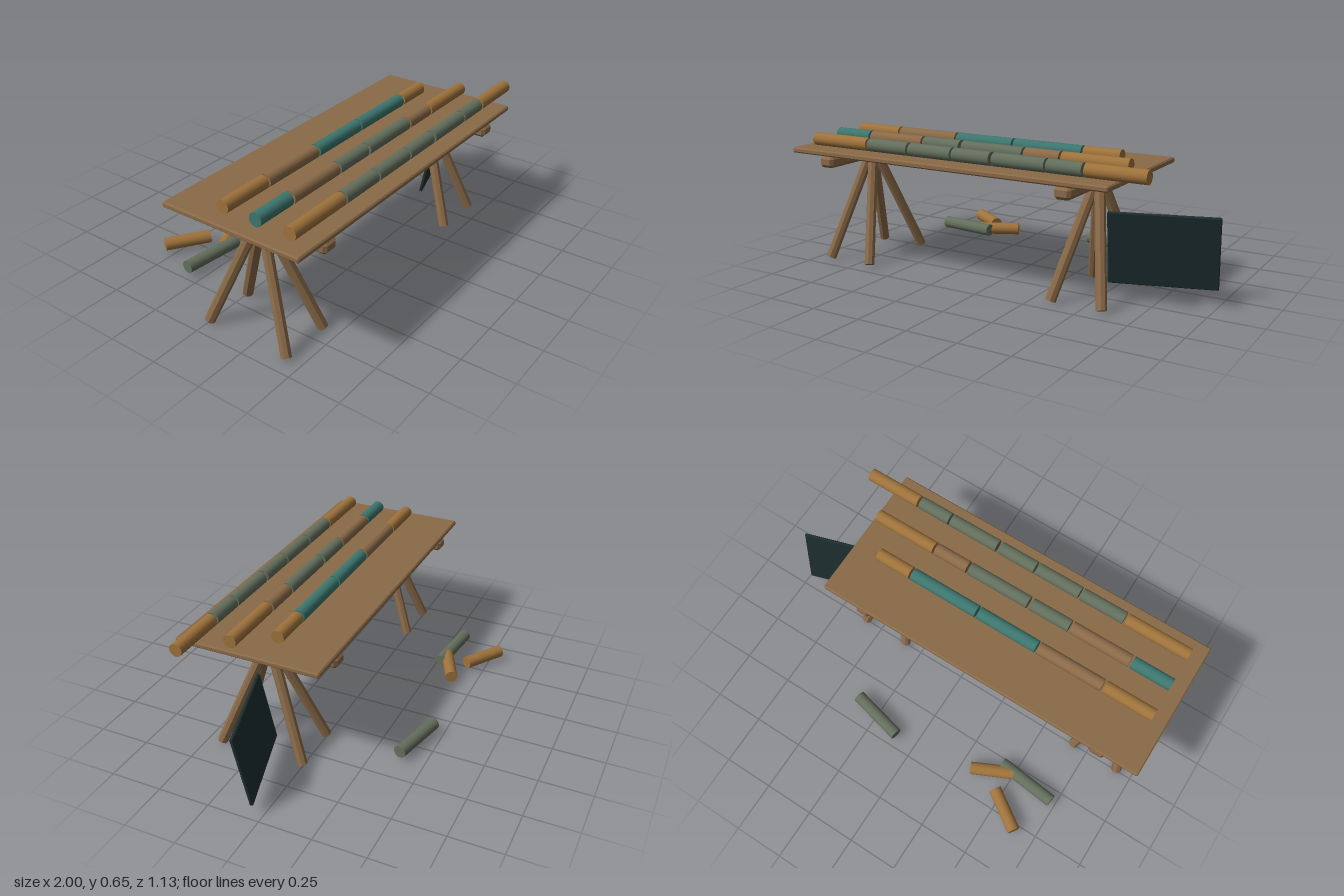
import * as THREE from 'three';
import { ConvexGeometry } from 'three/addons/geometries/ConvexGeometry.js';

const mat = (name, color) => {
  const m = new THREE.MeshStandardMaterial({ color });
  m.name = name;
  return m;
};

// Box with every edge chamfered by b
function chamferBox(w, h, d, b) {
  const [x, y, z] = [w / 2, h / 2, d / 2];
  const points = [];
  for (const sx of [-1, 1]) for (const sy of [-1, 1]) for (const sz of [-1, 1]) {
    points.push(
      new THREE.Vector3(sx * x, sy * (y - b), sz * (z - b)),
      new THREE.Vector3(sx * (x - b), sy * y, sz * (z - b)),
      new THREE.Vector3(sx * (x - b), sy * (y - b), sz * z)
    );
  }
  return new ConvexGeometry(points);
}

// Cylinder running from point a to point b
function rod(name, a, b, radius, sides, material) {
  const from = new THREE.Vector3(...a), to = new THREE.Vector3(...b);
  const dir = to.clone().sub(from);
  let geo = new THREE.CylinderGeometry(radius, radius, dir.length(), sides);
  if (sides <= 8) {
    geo.rotateY(Math.PI / sides);
    geo = geo.toNonIndexed();
    geo.computeVertexNormals();
  }
  const mesh = new THREE.Mesh(geo, material);
  mesh.name = name;
  mesh.position.copy(from).add(to).multiplyScalar(0.5);
  mesh.quaternion.setFromUnitVectors(new THREE.Vector3(0, 1, 0), dir.normalize());
  return mesh;
}

export function createModel() {
  const model = new THREE.Group();
  model.name = 'trestleTable';

  const wood = mat('wood', 0x8a6a48);
  const straw = mat('golden wood', 0x9e723b);
  const moss = mat('grey green', 0x636e5c);
  const teal = mat('teal', 0x3c766e);
  const slate = mat('dark slate', 0x1e2e30);
  const midZ = 0.214;

  // Table top
  const top = new THREE.Mesh(chamferBox(1.68, 0.026, 0.702, 0.006), wood);
  top.name = 'tableTop';
  top.position.set(-0.16, 0.577, midZ);
  model.add(top);

  // Trestles: a beam on four splayed legs
  for (const x of [-0.795, 0.47]) {
    const trestle = new THREE.Group();
    trestle.name = 'trestle';
    trestle.position.set(x, 0, midZ);
    const beam = new THREE.Mesh(chamferBox(0.08, 0.056, 0.7, 0.014), wood);
    beam.name = 'beam';
    beam.position.y = 0.536;
    trestle.add(beam);
    for (const sx of [-1, 1]) for (const sz of [-1, 1]) {
      trestle.add(rod('leg', [sx * 0.124, 0.012, sz * 0.211], [sx * 0.008, 0.53, sz * 0.01], 0.025, 8, wood));
    }
    model.add(trestle);
  }

  // Rows of rolls on the table: [start, end, material]
  const rows = [
    [0.13, [[-0.928, -0.678, straw], [-0.668, -0.336, wood], [-0.326, -0.016, teal],
      [-0.005, 0.348, teal], [0.358, 0.54, straw]]],
    [0.298, [[-0.928, -0.727, teal], [-0.716, -0.412, wood], [-0.401, -0.198, moss],
      [-0.182, 0.139, moss], [0.15, 0.326, wood], [0.337, 0.658, straw]]],
    [0.467, [[-0.928, -0.604, straw], [-0.594, -0.369, moss], [-0.358, -0.128, moss],
      [-0.118, 0.075, moss], [0.091, 0.348, moss], [0.358, 0.524, moss], [0.535, 0.813, straw]]]
  ];
  for (const [z, parts] of rows) {
    const row = new THREE.Group();
    row.name = 'rollRow';
    for (const [a, b, m] of parts) row.add(rod('roll', [a, 0.624, z], [b, 0.624, z], 0.031, 24, m));
    model.add(row);
  }

  // Loose rolls on the ground behind
  const loose = [
    [-0.725, -0.318, -0.425, -0.286, moss],
    [-0.497, -0.299, -0.305, -0.39, straw],
    [-0.647, -0.54, -0.465, -0.417, straw],
    [0.104, -0.446, 0.374, -0.382, moss]
  ];
  for (const [x1, z1, x2, z2, m] of loose) {
    model.add(rod('looseRoll', [x1, 0.049, z1], [x2, 0.049, z2], 0.031, 24, m));
  }

  // Dark board leaning against the trestle
  const board = new THREE.Mesh(chamferBox(0.49, 0.35, 0.016, 0.004), slate);
  board.name = 'leaningBoard';
  board.rotation.order = 'YXZ';
  board.rotation.set(0.187, 0.297, 0);
  board.position.set(0.753, 0.2275, 0.145);
  model.add(board);

  return model;
}
